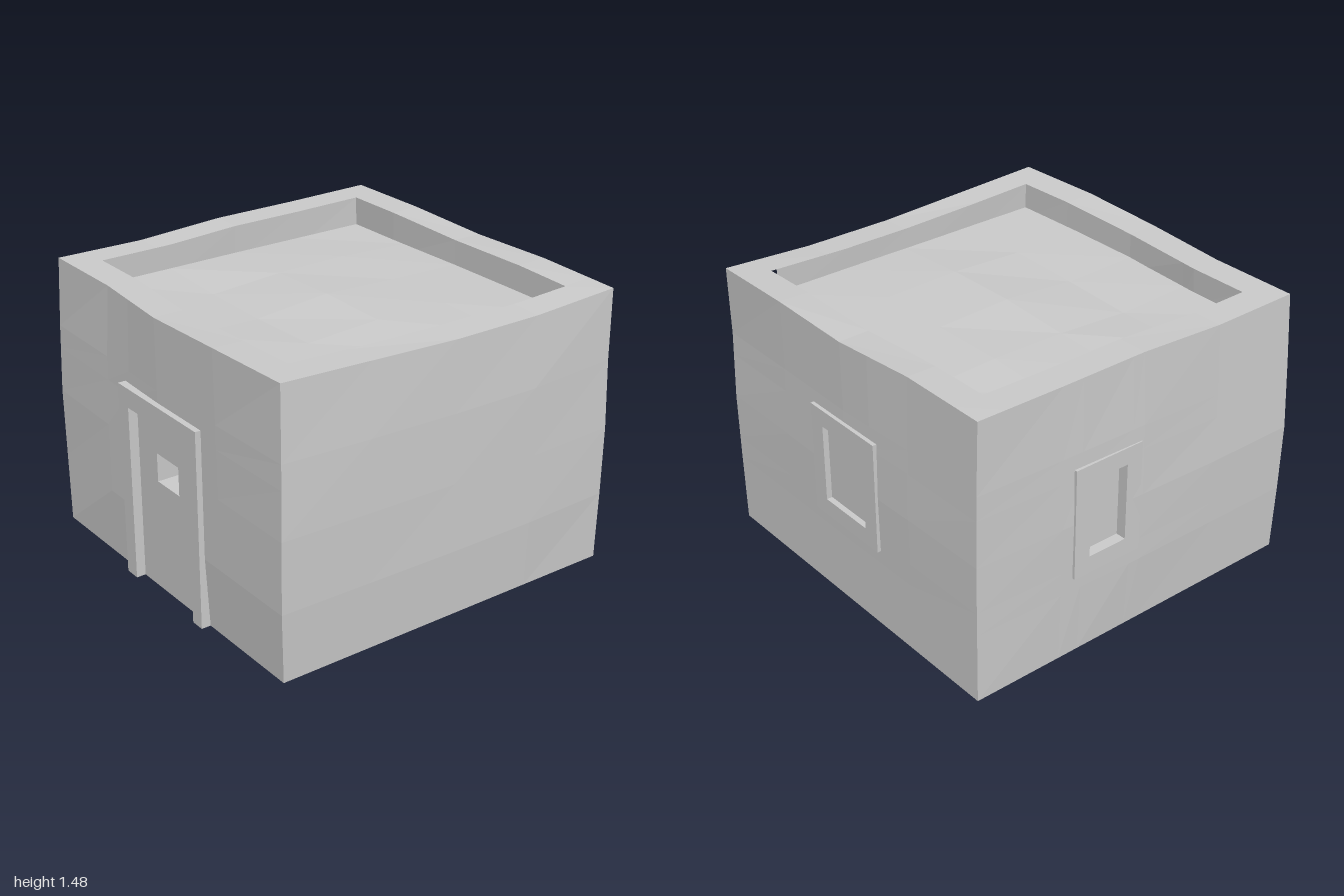
import * as THREE from 'three';

const mat = new THREE.MeshStandardMaterial({ color: 0xcccccc, flatShading: true });
const W = 0.97, H = 1.47, ZB = -0.98, ZF = 0.95;

// Bilinear lookup in a small table, s and t in 0..1
function sample(table, s, t) {
  const n = table.length - 1, m = table[0].length - 1;
  const a = THREE.MathUtils.clamp(t, 0, 1) * n, b = THREE.MathUtils.clamp(s, 0, 1) * m;
  const j = Math.min(Math.floor(a), n - 1), i = Math.min(Math.floor(b), m - 1);
  const { lerp } = THREE.MathUtils;
  return lerp(lerp(table[j][i], table[j][i + 1], b - i),
    lerp(table[j + 1][i], table[j + 1][i + 1], b - i), a - j);
}

// Outward bulges of the walls: rows go up, columns go along +x or +z
const front = [[0, 0, 0, 0, 0], [-0.005, 0.015, 0.02, 0.02, 0.02], [-0.005, 0.01, 0.02, 0.02, 0.02],
  [-0.01, 0, 0.02, 0.02, 0.01], [-0.02, -0.02, 0.02, 0.02, 0]];
const back = [[0, 0, 0, 0, 0], [0, 0, 0, 0, 0], [0, 0.005, 0.005, 0.005, 0],
  [-0.005, -0.005, 0, 0, -0.01], [-0.015, -0.015, 0.005, 0.005, 0]];
const negX = [[0, 0, 0, 0, 0], [0, 0.01, 0.025, 0.02, 0.02], [0, 0.015, 0.03, 0.03, 0.03],
  [0, 0.01, 0.02, 0.015, 0.015], [0, 0, 0, 0, 0]];
const posX = [[0, 0, 0, 0, 0], [0.01, 0.02, 0.02, 0.02, 0.02], [0.015, 0.02, 0.02, 0.025, 0.025],
  [0.01, 0.02, 0.015, 0.02, 0.015], [0, 0, 0, 0, 0]];
// Height changes of the rim and of the roof: rows go back to front, columns along +x
const rim = [[0.01, 0.01, -0.015, -0.005, -0.015], [0.005, 0, -0.01, -0.02, -0.04],
  [0.005, 0, -0.01, -0.02, -0.04], [-0.02, -0.02, -0.02, -0.02, -0.02], [-0.015, -0.015, -0.015, 0, 0]];
const sag = [[0, 0, 0, 0, 0], [0, 0.015, 0.01, 0.01, 0], [0, 0.01, 0.025, 0.02, 0],
  [0, -0.015, -0.01, 0, 0], [0, 0, 0, 0, 0]];

function warp(x, y, z) {
  const s = (x + W) / (2 * W), t = (z - ZB) / (ZF - ZB), v = y / H;
  return [
    x + sample(posX, t, v) * s - sample(negX, t, v) * (1 - s),
    y + sample(rim, s, t) * v,
    z + sample(front, s, v) * t - sample(back, s, v) * (1 - t),
  ];
}

// Four even steps plus extra cut positions
function cuts(a, b, ...extra) {
  const base = [0, 1, 2, 3, 4].map(i => a + (b - a) * i / 4);
  return [...new Set([...base, ...extra])].sort((p, q) => p - q);
}

// Quad sheet over us x vs with an optional hole [u0, u1, v0, v1]
function sheet(name, us, vs, map, hole) {
  const pos = [];
  for (let i = 0; i < us.length - 1; i++) for (let j = 0; j < vs.length - 1; j++) {
    const u = (us[i] + us[i + 1]) / 2, v = (vs[j] + vs[j + 1]) / 2;
    if (hole && u > hole[0] && u < hole[1] && v > hole[2] && v < hole[3]) continue;
    const [a, b, c, d] = [[0, 0], [1, 0], [1, 1], [0, 1]].map(([p, q]) => map(us[i + p], vs[j + q]));
    pos.push(...a, ...b, ...c, ...a, ...c, ...d);
  }
  const geo = new THREE.BufferGeometry();
  geo.setAttribute('position', new THREE.Float32BufferAttribute(pos, 3));
  geo.computeVertexNormals();
  return named(name, geo);
}

function named(name, geo) {
  const mesh = new THREE.Mesh(geo, mat);
  mesh.name = name;
  return mesh;
}

function box(name, x0, x1, y0, y1, z0, z1) {
  return named(name, new THREE.BoxGeometry(x1 - x0, y1 - y0, z1 - z0)
    .translate((x0 + x1) / 2, (y0 + y1) / 2, (z0 + z1) / 2));
}

const rect = (x0, x1, y0, y1) => [[x0, y0], [x1, y0], [x1, y1], [x0, y1]].map(p => new THREE.Vector2(...p));

function slab(name, outline, hole, z0, z1) {
  const shape = new THREE.Shape(outline);
  if (hole) shape.holes.push(new THREE.Path(hole));
  return named(name, new THREE.ExtrudeGeometry(shape, { depth: z1 - z0, bevelEnabled: false }).translate(0, 0, z0));
}

// Framed window facing local +z, its outer face at z = 0
function makeWindow(name, w, recess) {
  const g = new THREE.Group(), y0 = 0.44, y1 = 1.03, b = 0.09;
  g.name = name;
  g.add(slab('windowFrame', rect(-w / 2, w / 2, y0, y1), rect(-w / 2 + b, w / 2 - b, y0 + b, y1 - b), -0.12, 0));
  g.add(box('windowPane', -w / 2 + b, w / 2 - b, y0 + b, y1 - b, -0.11, -recess));
  return g;
}

export function createModel() {
  const house = new THREE.Group();
  house.name = 'house';

  // Outer walls with openings for the door and the two windows
  const ys = cuts(0, H, 0.49, 0.98), xs = cuts(-W, W, -0.2, 0.2), zs = cuts(ZB, ZF, -0.38, -0.08);
  house.add(
    sheet('frontWall', cuts(-W, W, -0.27, 0.33), cuts(0, H, 0.98), (u, v) => warp(u, v, ZF), [-0.27, 0.33, 0, 0.98]),
    sheet('backWall', xs, ys, (u, v) => warp(-u, v, ZB), [-0.2, 0.2, 0.49, 0.98]),
    sheet('leftWall', cuts(-ZF, -ZB), cuts(0, H), (u, v) => warp(W, v, -u)),
    sheet('rightWall', zs, ys, (u, v) => warp(-W, v, u), [-0.38, -0.08, 0.49, 0.98]),
    sheet('base', cuts(-W, W, -0.31, 0.37), cuts(ZB, ZF, 0.74), (u, v) => warp(u, 0, v), [-0.31, 0.37, 0.74, 1]),
  );

  // Parapet rim, its inner faces and the sunken roof
  const ix = 0.81, ib = -0.82, jf = 0.79, low = 1.27;
  const rx = cuts(-ix, ix), rz = cuts(-jf, -ib), rv = [low, H];
  house.add(
    sheet('parapetRim', cuts(-W, W, -ix, ix), cuts(-ZF, -ZB, -jf, -ib), (u, v) => warp(u, H, -v), [-ix, ix, -jf, -ib]),
    sheet('parapetInnerBack', cuts(-ix, ix, -W / 2, W / 2), rv, (u, v) => warp(u, v, ib)),
    sheet('parapetInnerFront', cuts(-ix, ix, -W / 2, W / 2), rv, (u, v) => warp(-u, v, jf)),
    sheet('parapetInnerRight', rz, rv, (u, v) => warp(-ix, v, -u)),
    sheet('parapetInnerLeft', rz, rv, (u, v) => warp(ix, v, u)),
    sheet('roof', rx, rz, (u, v) => {
      const p = warp(u, 1.33, -v);
      p[1] = 1.325 + sample(sag, (u + ix) / (2 * ix), (-v - ib) / (jf - ib));
      return p;
    }),
  );

  // Door with a peephole, set back in a deep frame
  const arch = [[-0.31, 0], [-0.225, 0], [-0.225, 0.93], [0.295, 0.93], [0.295, 0], [0.37, 0], [0.37, 1.03], [-0.31, 1.03]];
  house.add(
    slab('doorFrame', arch.map(p => new THREE.Vector2(...p)), null, 0.74, 1),
    slab('door', rect(-0.225, 0.295, 0, 0.93), rect(-0.06, 0.13, 0.59, 0.74), 0.83, 0.95),
    box('doorBacking', -0.3, 0.36, 0.002, 1.02, 0.7, 0.74),
  );

  // Windows at the back and on the right
  const backWindow = makeWindow('backWindow', 0.5, 0.03);
  backWindow.position.z = -1;
  backWindow.rotation.y = Math.PI;
  const sideWindow = makeWindow('sideWindow', 0.4, 0.055);
  sideWindow.position.set(-0.998, 0, -0.23);
  sideWindow.rotation.y = -Math.PI / 2;
  house.add(backWindow, sideWindow);

  return house;
}
